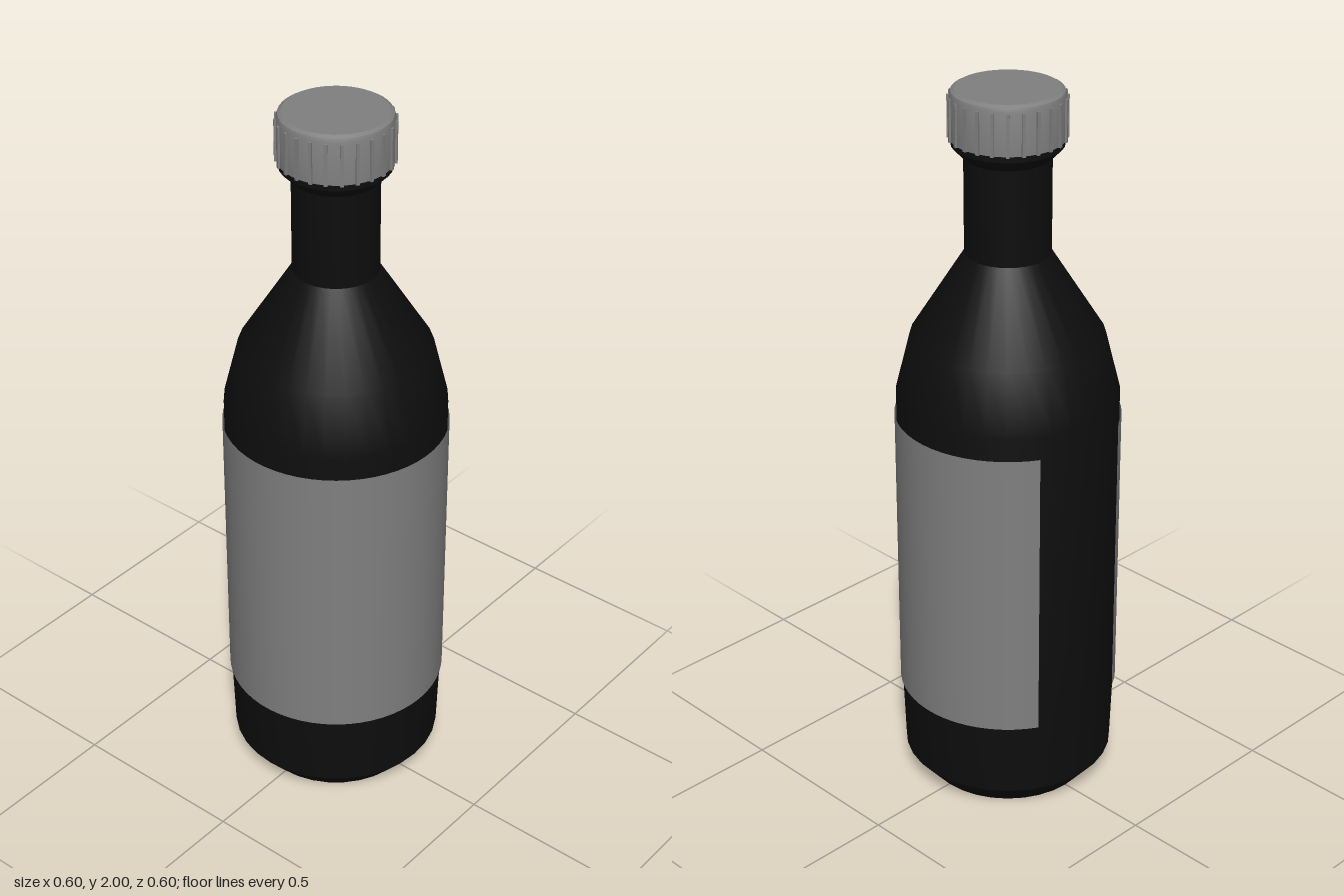
import * as THREE from 'three';
import { toCreasedNormals } from 'three/addons/utils/BufferGeometryUtils.js';

const glass = new THREE.MeshStandardMaterial({ color: 0x0d0d0d });
glass.name = 'blackGlass';
const grey = new THREE.MeshStandardMaterial({ color: 0x7f7f7f, side: THREE.DoubleSide });
grey.name = 'grey';

// Turned solid from [radius, height] pairs, bottom to top
function turned(name, profile, sides, material) {
  const points = profile.map(([r, y]) => new THREE.Vector2(r, y));
  const geometry = toCreasedNormals(new THREE.LatheGeometry(points, sides), 0.4);
  const mesh = new THREE.Mesh(geometry, material);
  mesh.name = name;
  return mesh;
}

export function createModel() {
  const bottle = new THREE.Group();
  bottle.name = 'bottle';

  // Body, shoulder, neck and flared lip
  bottle.add(turned('body', [
    [0, 0], [0.23, 0], [0.29, 0.07], [0.297, 0.28], [0.297, 1.17],
    [0.257, 1.33], [0.113, 1.56], [0.113, 1.82], [0.145, 1.853],
    [0.145, 1.875], [0, 1.875],
  ], 32, glass));

  // Wrapped label, open at the back
  const halfGap = THREE.MathUtils.degToRad(29);
  const sweep = 2 * (Math.PI - halfGap);
  const label = new THREE.Mesh(
    new THREE.CylinderGeometry(0.302, 0.302, 0.823, 48, 1, true, -sweep / 2, sweep), grey);
  label.name = 'label';
  label.position.y = 0.6935;
  bottle.add(label);

  // Screw cap with a softened top edge
  const cap = new THREE.Group();
  cap.name = 'cap';
  cap.add(turned('capShell', [
    [0, 1.87], [0.148, 1.87], [0.148, 1.983], [0.144, 1.994], [0.134, 2], [0, 2],
  ], 48, grey));

  // Grip ribs around the cap
  const ribGeometry = new THREE.BoxGeometry(0.009, 0.113, 0.012);
  const ribCount = 24;
  for (let i = 0; i < ribCount; i++) {
    const angle = (i / ribCount) * Math.PI * 2;
    const rib = new THREE.Mesh(ribGeometry, grey);
    rib.name = 'capRib';
    rib.position.set(Math.sin(angle) * 0.1475, 1.925, Math.cos(angle) * 0.1475);
    rib.rotation.y = angle;
    cap.add(rib);
  }
  bottle.add(cap);

  // Centre the overall depth, as only the front carries the label
  bottle.position.z = -0.003;
  const model = new THREE.Group();
  model.add(bottle);
  return model;
}
